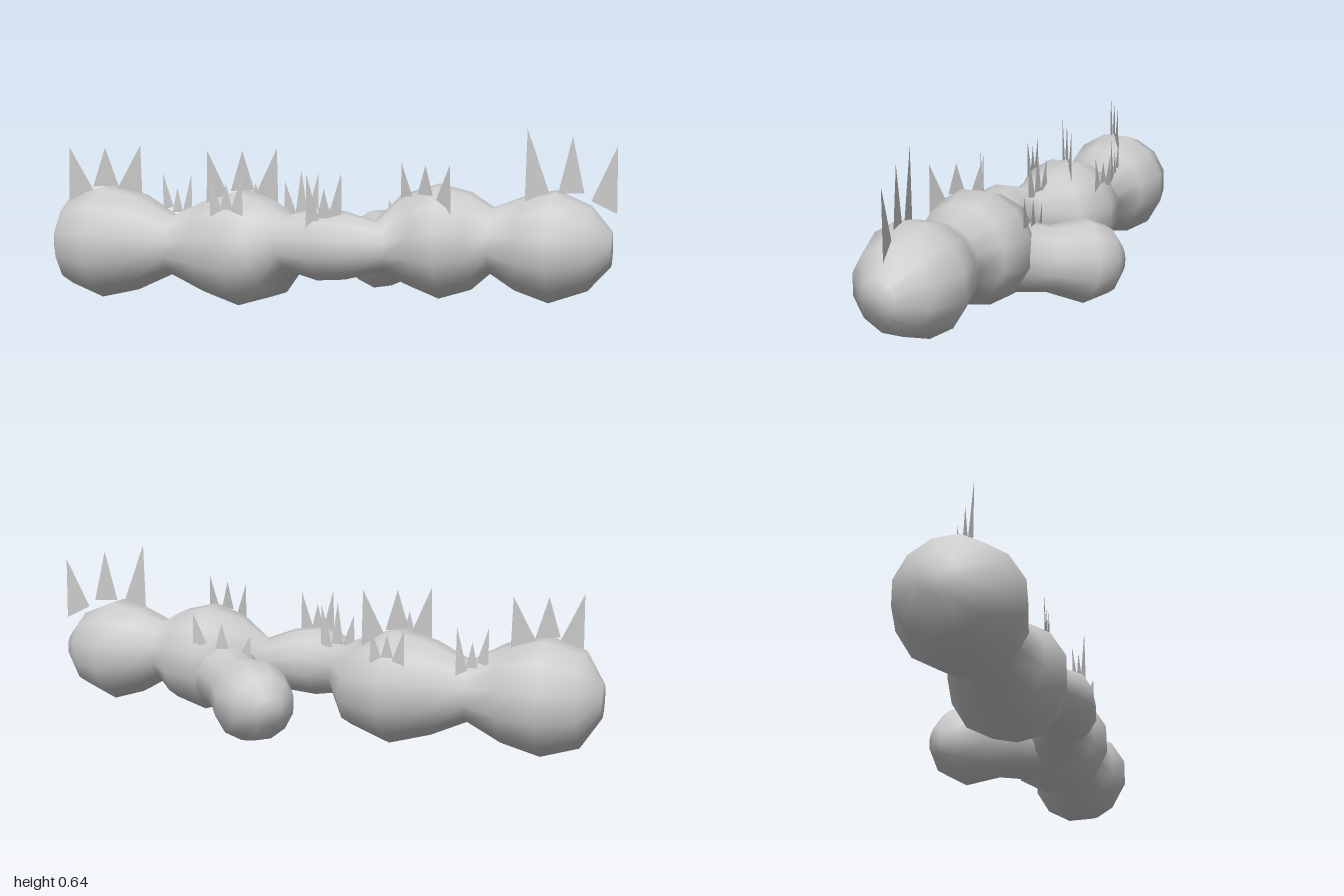
import * as THREE from 'three';

const SIDES = 12;
const skin = new THREE.MeshStandardMaterial({ color: 0xcccccc });
const thin = new THREE.MeshStandardMaterial({ color: 0xcccccc, side: THREE.DoubleSide });

// Sweep round sections [x, y, z, radius] along their own path, closed at both ends
function sweep(name, stations) {
  const centres = stations.map(s => new THREE.Vector3(s[0], s[1], s[2]));
  const last = stations.length - 1;
  const pos = [], index = [];
  const up0 = new THREE.Vector3(0, 1, 0);
  stations.forEach((s, i) => {
    const tangent = centres[Math.min(i + 1, last)].clone().sub(centres[Math.max(i - 1, 0)]).normalize();
    const side = tangent.clone().cross(up0).normalize();
    const up = side.clone().cross(tangent);
    for (let j = 0; j < SIDES; j++) {
      const a = (j + 0.5) / SIDES * Math.PI * 2;
      const p = centres[i].clone()
        .addScaledVector(up, s[3] * Math.cos(a))
        .addScaledVector(side, s[3] * Math.sin(a));
      pos.push(p.x, p.y, p.z);
      if (i === last) continue;
      const k = (j + 1) % SIDES, r = i * SIDES, n = r + SIDES;
      index.push(r + j, r + k, n + j, r + k, n + k, n + j);
    }
  });
  // End caps
  [0, last].forEach(i => {
    const c = pos.length / 3;
    pos.push(...centres[i].toArray());
    for (let j = 0; j < SIDES; j++) {
      const a = i * SIDES + j, b = i * SIDES + (j + 1) % SIDES;
      index.push(c, ...(i ? [a, b] : [b, a]));
    }
  });
  const geo = new THREE.BufferGeometry();
  geo.setAttribute('position', new THREE.Float32BufferAttribute(pos, 3));
  geo.setIndex(index);
  geo.computeVertexNormals();
  const mesh = new THREE.Mesh(geo, skin);
  mesh.name = name;
  return mesh;
}

// Three flat blades whose tips run from one [x, z] to another, fanning outward
function spikeRow(name, from, to, tips, bases, width) {
  const row = new THREE.Group();
  row.name = name;
  const a = new THREE.Vector3(from[0], 0, from[1]);
  const b = new THREE.Vector3(to[0], 0, to[1]);
  const dir = b.clone().sub(a).normalize();
  tips.forEach((tipY, i) => {
    const t = i / (tips.length - 1);
    const tip = a.clone().lerp(b, t);
    const mid = tip.clone().addScaledVector(dir, -width * (t - 0.5) * 0.9);
    const p = mid.clone().addScaledVector(dir, -width / 2);
    const q = mid.clone().addScaledVector(dir, width / 2);
    // outer corners drop a little with the curve of the body
    p.y = bases[i] - (i === 0 ? width * 0.3 : 0);
    q.y = bases[i] - (i === tips.length - 1 ? width * 0.5 : 0);
    tip.y = tipY;
    const geo = new THREE.BufferGeometry().setFromPoints([p, q, tip]);
    geo.computeVertexNormals();
    const spike = new THREE.Mesh(geo, thin);
    spike.name = 'spike';
    row.add(spike);
  });
  return row;
}

export function createModel() {
  const model = new THREE.Group();
  model.name = 'spikyBranch';

  // Main body: five swellings joined by necks
  model.add(sweep('body', [
    [-0.995, 0.21, 0.15, 0.06],
    [-0.93, 0.21, 0.145, 0.165],
    [-0.80, 0.21, 0.14, 0.207],
    [-0.66, 0.21, 0.13, 0.172],
    [-0.54, 0.207, 0.12, 0.108],
    [-0.42, 0.21, 0.105, 0.165],
    [-0.28, 0.21, 0.095, 0.207],
    [-0.16, 0.215, 0.105, 0.17],
    [-0.07, 0.245, 0.145, 0.1],
    [0.04, 0.253, 0.167, 0.125],
    [0.13, 0.25, 0.155, 0.115],
    [0.225, 0.245, 0.105, 0.088],
    [0.31, 0.262, 0.05, 0.158],
    [0.42, 0.265, 0.03, 0.196],
    [0.53, 0.27, 0.02, 0.165],
    [0.60, 0.275, 0.02, 0.112],
    [0.69, 0.27, 0.012, 0.158],
    [0.80, 0.265, 0.005, 0.188],
    [0.92, 0.265, 0, 0.14],
    [0.99, 0.265, -0.005, 0.058],
  ]));

  // Side limb branching off toward the back
  model.add(sweep('sideLimb', [
    [0.40, 0.25, 0.01, 0.12],
    [0.31, 0.22, -0.06, 0.12],
    [0.23, 0.2, -0.13, 0.112],
    [0.13, 0.18, -0.212, 0.145],
    [0.065, 0.175, -0.268, 0.115],
    [0.03, 0.172, -0.3, 0.05],
  ]));

  // Spikes: name, tips start, tips end, tip heights, base heights, width
  [
    ['outerRightSpikes', [-0.905, 0.22], [-0.695, 0.08], [0.555, 0.55, 0.555], [0.39, 0.41, 0.4], 0.09],
    ['rightNeckSpikes', [-0.625, 0.04], [-0.52, 0.02], [0.45, 0.4, 0.45], [0.33, 0.31, 0.3], 0.04],
    ['innerRightSpikes', [-0.385, 0.16], [-0.185, 0.01], [0.555, 0.55, 0.555], [0.38, 0.41, 0.39], 0.085],
    ['innerRightFrontSpikes', [-0.335, 0.24], [-0.225, 0.22], [0.47, 0.45, 0.48], [0.35, 0.36, 0.35], 0.045],
    ['innerRightBackSpikes', [-0.36, -0.06], [-0.24, -0.06], [0.44, 0.42, 0.44], [0.33, 0.34, 0.33], 0.045],
    ['middleSpikes', [-0.125, 0.08], [0, 0.08], [0.45, 0.49, 0.48], [0.34, 0.34, 0.33], 0.045],
    ['middleFrontSpikes', [0.03, 0.265], [0.125, 0.19], [0.5, 0.45, 0.5], [0.33, 0.35, 0.35], 0.05],
    ['innerLeftSpikes', [0.3, 0.08], [0.49, 0.16], [0.53, 0.53, 0.54], [0.39, 0.43, 0.41], 0.065],
    ['innerLeftBackSpikes', [0.2, -0.09], [0.4, -0.14], [0.38, 0.42, 0.455], [0.29, 0.33, 0.35], 0.05],
    ['outerLeftSpikes', [0.72, 0.065], [0.995, -0.035], [0.655, 0.63, 0.6], [0.43, 0.445, 0.42], 0.085],
  ].forEach(args => model.add(spikeRow(...args)));

  return model;
}
